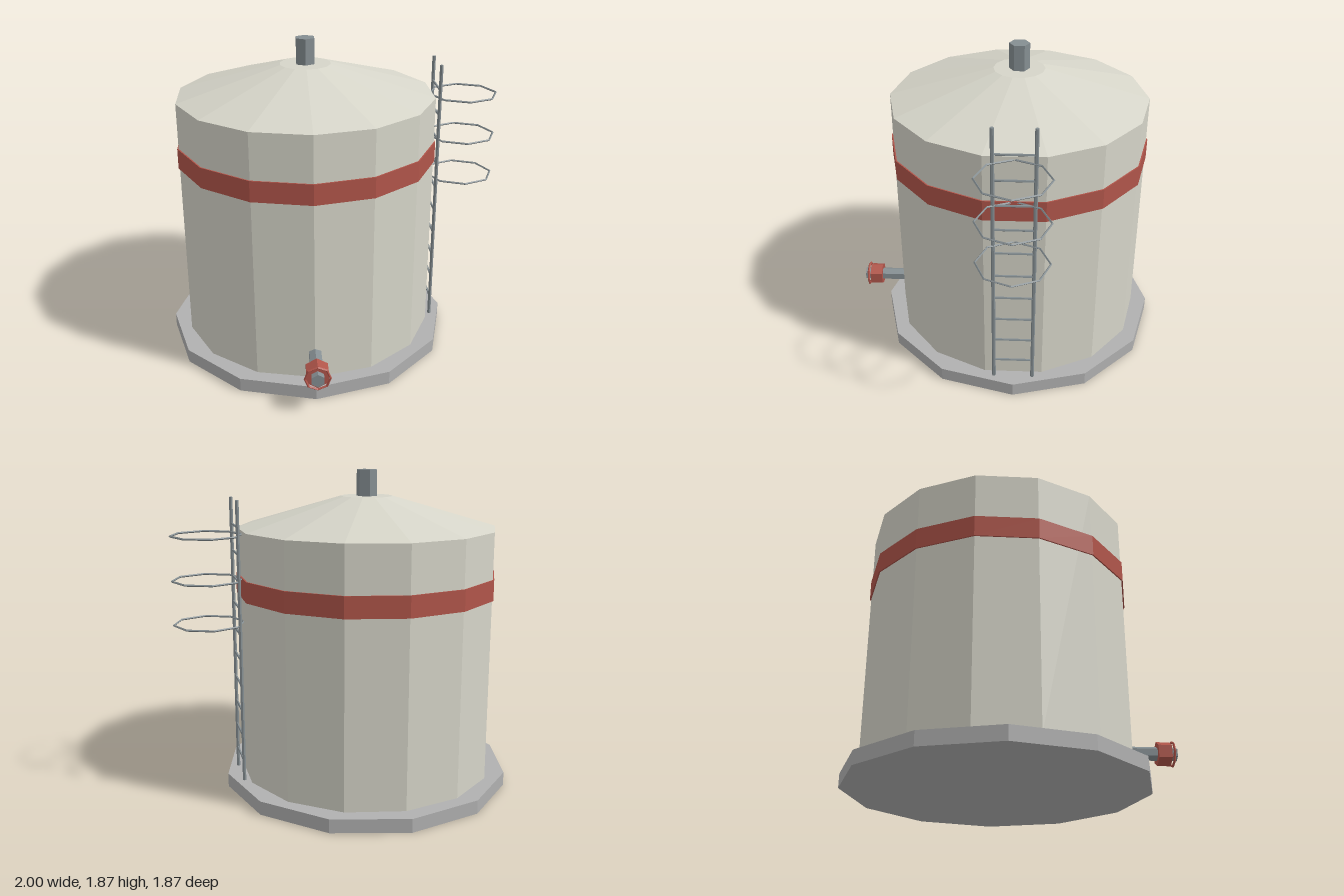
import * as THREE from 'three';

const mat = (color) => new THREE.MeshStandardMaterial({ color, flatShading: true });

export function createModel() {
  const model = new THREE.Group();
  const paint = mat(0xd6d5c9), concrete = mat(0xb0b0b0), red = mat(0xb0554a), steel = mat(0x858e92);
  const CX = -0.144, CZ = -0.076;

  const add = (name, geometry, material, x, y, z, parent = model) => {
    const mesh = new THREE.Mesh(geometry, material);
    mesh.name = name;
    mesh.position.set(x, y, z);
    parent.add(mesh);
    return mesh;
  };
  // Upright prism or frustum between two heights
  const upright = (name, rTop, rBottom, y0, y1, sides, material) =>
    add(name, new THREE.CylinderGeometry(rTop, rBottom, y1 - y0, sides), material, CX, (y0 + y1) / 2, CZ);
  // Prism lying along z between two depths
  const lying = (name, r, z0, z1, y, x, sides, material, parent) =>
    add(name, new THREE.CylinderGeometry(r, r, z1 - z0, sides).rotateX(Math.PI / 2), material, x, y, (z0 + z1) / 2, parent);

  // Tank
  upright('foundation', 0.857, 0.857, 0, 0.08, 12, concrete);
  upright('tankShell', 0.76, 0.76, 0.08, 1.538, 14, paint);
  upright('paintedBand', 0.768, 0.768, 1.152, 1.272, 14, red);
  upright('roof', 0.15, 0.76, 1.538, 1.716, 14, paint);
  upright('roofVent', 0.06, 0.06, 1.69, 1.867, 6, steel);

  // Outlet pipe with valve and handwheel
  const outlet = new THREE.Group();
  outlet.name = 'outlet';
  model.add(outlet);
  lying('outletPipe', 0.04, 0.62, 0.932, 0.23, CX, 6, steel, outlet);
  lying('valveBody', 0.07, 0.82, 0.896, 0.23, CX, 6, red, outlet);
  add('valveWheel', new THREE.TorusGeometry(0.07, 0.007, 4, 8), red, CX, 0.23, 0.908, outlet);

  // Ladder: rails, rungs and safety hoops
  const ladder = new THREE.Group();
  ladder.name = 'ladder';
  model.add(ladder);
  const LX = 0.633, half = 0.113;
  for (const side of [-1, 1]) {
    add('ladderRail', new THREE.CylinderGeometry(0.0108, 0.0108, 1.637, 6), steel, LX, 0.8985, CZ + side * half, ladder);
  }
  for (let i = 0; i < 10; i++) {
    lying('ladderRung', 0.007, CZ - half, CZ + half, 0.203 + i * 0.1515, LX, 5, steel, ladder);
  }
  for (let i = 0; i < 3; i++) {
    const hoop = new THREE.TorusGeometry(0.2, 0.006, 4, 8).rotateX(Math.PI / 2);
    add('safetyHoop', hoop, steel, 0.793, 1.012 + i * 0.2525, CZ, ladder);
  }
  return model;
}
